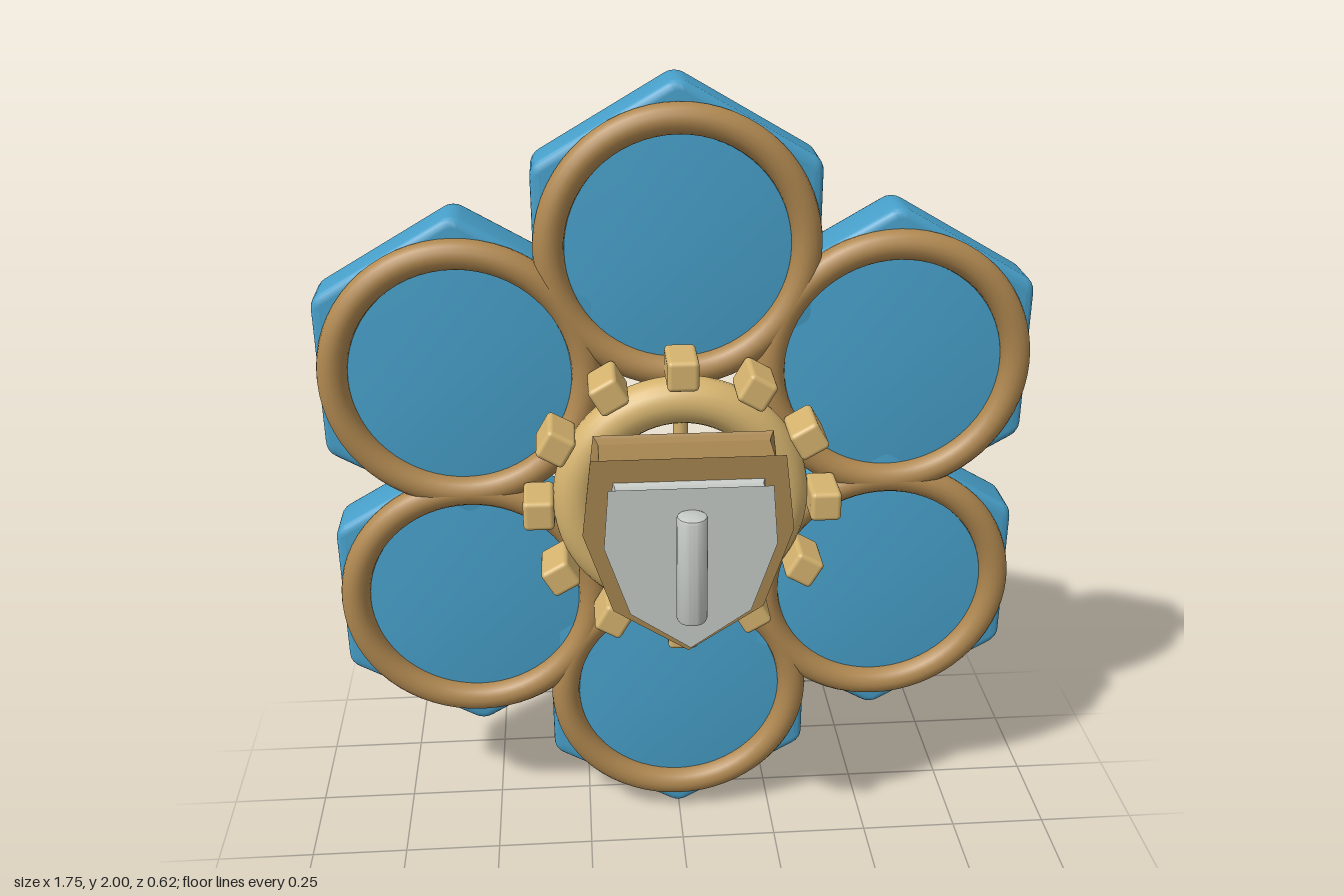
import * as THREE from 'three';
import { toCreasedNormals } from 'three/addons/utils/BufferGeometryUtils.js';
import { RoundedBoxGeometry } from 'three/addons/geometries/RoundedBoxGeometry.js';

const material = (name, color) => {
  const m = new THREE.MeshStandardMaterial({ color });
  m.name = name;
  return m;
};

// Hexagonal slab with rounded corners and bevelled edges
function hexGeometry(radius, depth, bevel) {
  const r = radius - bevel;
  const corners = [];
  for (let i = 0; i < 6; i++) {
    const a = Math.PI / 2 + i * Math.PI / 3;
    corners.push(new THREE.Vector2(Math.cos(a) * r, Math.sin(a) * r));
  }
  const shape = new THREE.Shape();
  corners.forEach((c, i) => {
    const before = c.clone().lerp(corners[(i + 5) % 6], 0.04);
    const after = c.clone().lerp(corners[(i + 1) % 6], 0.04);
    if (i === 0) shape.moveTo(before.x, before.y);
    else shape.lineTo(before.x, before.y);
    shape.quadraticCurveTo(c.x, c.y, after.x, after.y);
  });
  shape.closePath();
  const g = new THREE.ExtrudeGeometry(shape, {
    depth: depth - 2 * bevel, bevelEnabled: true, bevelSize: bevel,
    bevelThickness: bevel, bevelSegments: 4, curveSegments: 4,
  });
  g.translate(0, 0, bevel - depth / 2);
  return toCreasedNormals(g, 0.6);
}

// Shield lofted along z, with edges flaring outwards at both ends
function shieldGeometry(half, z0, z1, backScale) {
  const outline = [...half.map(([x, y]) => [-x, y]), [0, half.tip],
    ...[...half].reverse()]; // counter-clockwise from the top left
  const waist = 0.91, f = 0.025;
  const profile = [[z0, 0], [z0, backScale], [z0 + f * 0.3, 0.94], [z0 + f, waist],
    [z1 - f, waist], [z1 - f * 0.5, 0.93], [z1 - f * 0.15, 0.96], [z1, 1], [z1, 0]];
  const cy = -0.03;
  const point = (p, [z, s]) => [p[0] * s, cy + (p[1] - cy) * s, z];
  const pos = [];
  for (let k = 0; k < profile.length - 1; k++) {
    outline.forEach((p, i) => {
      const q = outline[(i + 1) % outline.length];
      const a = point(p, profile[k]), b = point(q, profile[k]);
      const c = point(q, profile[k + 1]), d = point(p, profile[k + 1]);
      if (profile[k][1] > 0) pos.push(...a, ...b, ...c);
      if (profile[k + 1][1] > 0) pos.push(...a, ...c, ...d);
      else if (profile[k][1] === 0) pos.push(...a, ...c, ...d);
    });
  }
  const g = new THREE.BufferGeometry();
  g.setAttribute('position', new THREE.Float32BufferAttribute(pos, 3));
  g.computeVertexNormals();
  return g;
}

// Round bar along y with softened ends
function barGeometry(radius, length, bevel) {
  const h = length / 2;
  const pts = [[0, -h], [radius - bevel, -h], [radius - bevel * 0.3, -h + bevel * 0.3],
    [radius, -h + bevel], [radius, h - bevel], [radius - bevel * 0.3, h - bevel * 0.3],
    [radius - bevel, h], [0, h]].map(([x, y]) => new THREE.Vector2(x, y));
  return toCreasedNormals(new THREE.LatheGeometry(pts, 24), 0.6);
}

export function createModel() {
  const blue = material('petal blue', 0x479fc9);
  const bronze = material('ring bronze', 0xb08850);
  const gold = material('hub gold', 0xd6b46f);
  const brown = material('shield brown', 0xa68550);
  const silver = material('silver', 0xc6cbc6);

  const model = new THREE.Group();
  const body = new THREE.Group();
  body.name = 'flower';
  body.position.y = 1;
  model.add(body);

  const add = (name, geometry, mat, x = 0, y = 0, z = 0) => {
    const mesh = new THREE.Mesh(geometry, mat);
    mesh.name = name;
    mesh.position.set(x, y, z);
    body.add(mesh);
    return mesh;
  };

  // Six petals, each a hexagon with a round rim
  const hex = hexGeometry(0.392, 0.152, 0.022);
  const rim = new THREE.TorusGeometry(0.306, 0.037, 16, 64);
  for (let i = 0; i < 6; i++) {
    const a = Math.PI / 2 + i * Math.PI / 3;
    const x = Math.cos(a) * 0.612, y = Math.sin(a) * 0.612;
    add('petal', hex, blue, x, y, -0.232);
    add('petalRim', rim, bronze, x, y, -0.152);
  }

  // Hub ring with twelve teeth
  add('hubRing', new THREE.TorusGeometry(0.26, 0.058, 20, 64), gold, 0, 0, -0.08);
  const tooth = new RoundedBoxGeometry(0.076, 0.076, 0.132, 3, 0.012);
  for (let i = 0; i < 12; i++) {
    const a = i * Math.PI / 6;
    add('hubTooth', tooth, gold, Math.cos(a) * 0.352, Math.sin(a) * 0.352, -0.05)
      .rotation.z = a;
  }

  // Spokes and axle behind the shield
  const spoke = new THREE.CylinderGeometry(0.018, 0.018, 0.24, 12);
  for (let i = 0; i < 4; i++) {
    const a = i * Math.PI / 2;
    add('spoke', spoke, gold, -Math.sin(a) * 0.12, Math.cos(a) * 0.12, -0.085)
      .rotation.z = a;
  }
  add('axle', barGeometry(0.066, 0.135, 0.03), silver, 0, 0, -0.065).rotation.x = Math.PI / 2;

  // Shield, its raised face plate and the upright handle
  const outer = [[0.225, 0.22], [0.248, 0.03], [0.18, -0.175]];
  outer.tip = -0.292;
  add('shield', shieldGeometry(outer, 0.012, 0.177, 0.96), brown);
  const inner = [[0.188, 0.177], [0.2, 0.03], [0.142, -0.145]];
  inner.tip = -0.243;
  add('shieldFace', shieldGeometry(inner, 0.165, 0.246, 0.96), silver);
  add('handle', barGeometry(0.036, 0.272, 0.008), silver, 0, -0.014, 0.273);

  return model;
}
